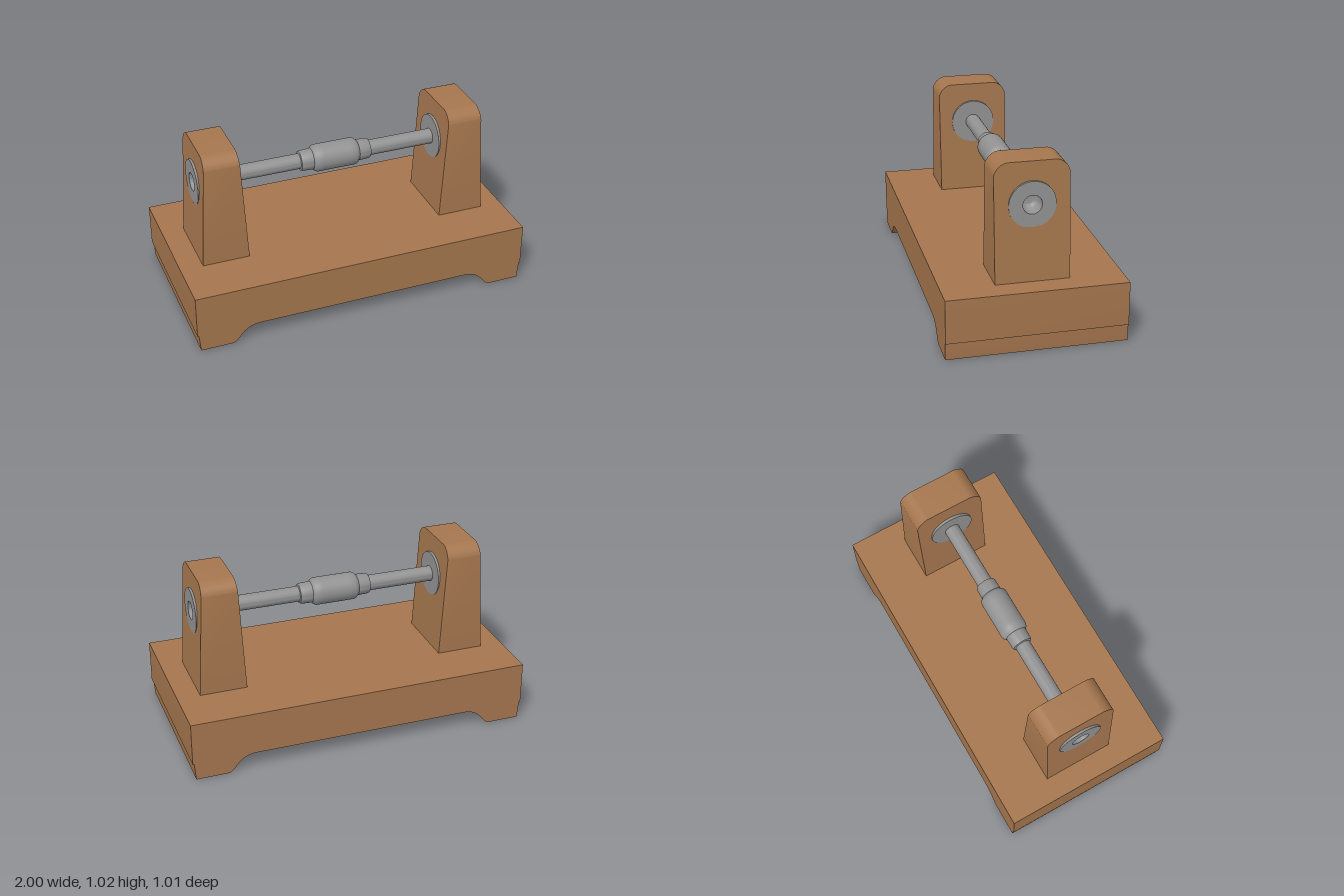
import * as THREE from 'three';
import { toCreasedNormals } from 'three/addons/utils/BufferGeometryUtils.js';

const AXIS_Y = 0.782;

// Solid of revolution whose axis lies along x; points are [radius, x]
function turned(points, material, name) {
  const g = new THREE.LatheGeometry(points.map(([r, x]) => new THREE.Vector2(r, x)), 40);
  g.rotateZ(-Math.PI / 2);
  const mesh = new THREE.Mesh(toCreasedNormals(g, 0.5), material);
  mesh.name = name;
  mesh.position.y = AXIS_Y;
  return mesh;
}

// Slab with sloped feet and a coved hollow underneath
function baseGeometry() {
  const s = new THREE.Shape();
  s.moveTo(-0.998, 0.35);
  s.lineTo(-0.998, 0.1);
  s.lineTo(-0.99, 0.1);
  s.lineTo(-0.982, 0);
  s.lineTo(-0.795, 0);
  s.quadraticCurveTo(-0.775, 0.003, -0.745, 0.044);
  s.quadraticCurveTo(-0.705, 0.096, -0.64, 0.1);
  s.lineTo(0.64, 0.1);
  s.quadraticCurveTo(0.705, 0.096, 0.745, 0.044);
  s.quadraticCurveTo(0.775, 0.003, 0.795, 0);
  s.lineTo(0.982, 0);
  s.lineTo(0.99, 0.1);
  s.lineTo(0.998, 0.1);
  s.lineTo(0.998, 0.35);
  const g = new THREE.ExtrudeGeometry(s, { depth: 1.006, bevelEnabled: false, curveSegments: 8 });
  g.translate(0, 0, -0.503);
  return toCreasedNormals(g, 0.5);
}

// Upright with rounded shoulders, bored for the bushing, narrowing towards the top
function postGeometry() {
  const s = new THREE.Shape();
  s.moveTo(-0.207, 0.345);
  s.lineTo(0.207, 0.345);
  s.lineTo(0.207, 0.95);
  s.bezierCurveTo(0.2, 0.985, 0.165, 1.017, 0.13, 1.018);
  s.lineTo(-0.13, 1.018);
  s.bezierCurveTo(-0.165, 1.017, -0.2, 0.985, -0.207, 0.95);
  const hole = new THREE.Path();
  hole.absarc(0, AXIS_Y, 0.126, 0, Math.PI * 2, true);
  s.holes.push(hole);
  const g = new THREE.ExtrudeGeometry(s, { depth: 1, bevelEnabled: false, curveSegments: 16 });
  g.translate(0, 0, -0.5);
  g.rotateY(Math.PI / 2);
  const p = g.attributes.position;
  for (let i = 0; i < p.count; i++) {
    const t = (p.getY(i) - 0.35) / 0.668;
    p.setX(i, 0.729 + p.getX(i) * THREE.MathUtils.lerp(0.275, 0.2, t));
  }
  return toCreasedNormals(g, 0.5);
}

export function createModel() {
  const wood = new THREE.MeshStandardMaterial({ color: 0xa5764e });
  wood.name = 'wood';
  const steel = new THREE.MeshStandardMaterial({ color: 0x929292 });
  steel.name = 'steel';

  const model = new THREE.Group();
  model.name = 'shaftStand';

  const base = new THREE.Mesh(baseGeometry(), wood);
  base.name = 'base';
  model.add(base);

  // Matching supports at both ends
  const postGeo = postGeometry();
  for (const side of ['left', 'right']) {
    const support = new THREE.Group();
    support.name = side + 'Support';
    const post = new THREE.Mesh(postGeo, wood);
    post.name = 'post';
    const bushing = turned([
      [0, 0.607], [0.13, 0.607], [0.13, 0.849], [0.053, 0.849],
      [0.053, 0.795], [0.045, 0.775], [0.028, 0.762], [0, 0.758],
    ], steel, 'bushing');
    support.add(post, bushing);
    if (side === 'right') support.rotation.y = Math.PI;
    model.add(support);
  }

  // Shaft between the bushings
  model.add(turned([[0, -0.64], [0.045, -0.64], [0.045, 0.64], [0, 0.64]], steel, 'shaft'));

  // Stepped coupling around the middle of the shaft
  const half = [[0.045, 0.215], [0.056, 0.212], [0.06, 0.2], [0.062, 0.14], [0.074, 0.128], [0.08, 0.115], [0.08, 0.08]];
  const coupling = half.map(([r, x]) => [r, -x]).concat(half.slice().reverse());
  model.add(turned(coupling, steel, 'coupling'));

  return model;
}
